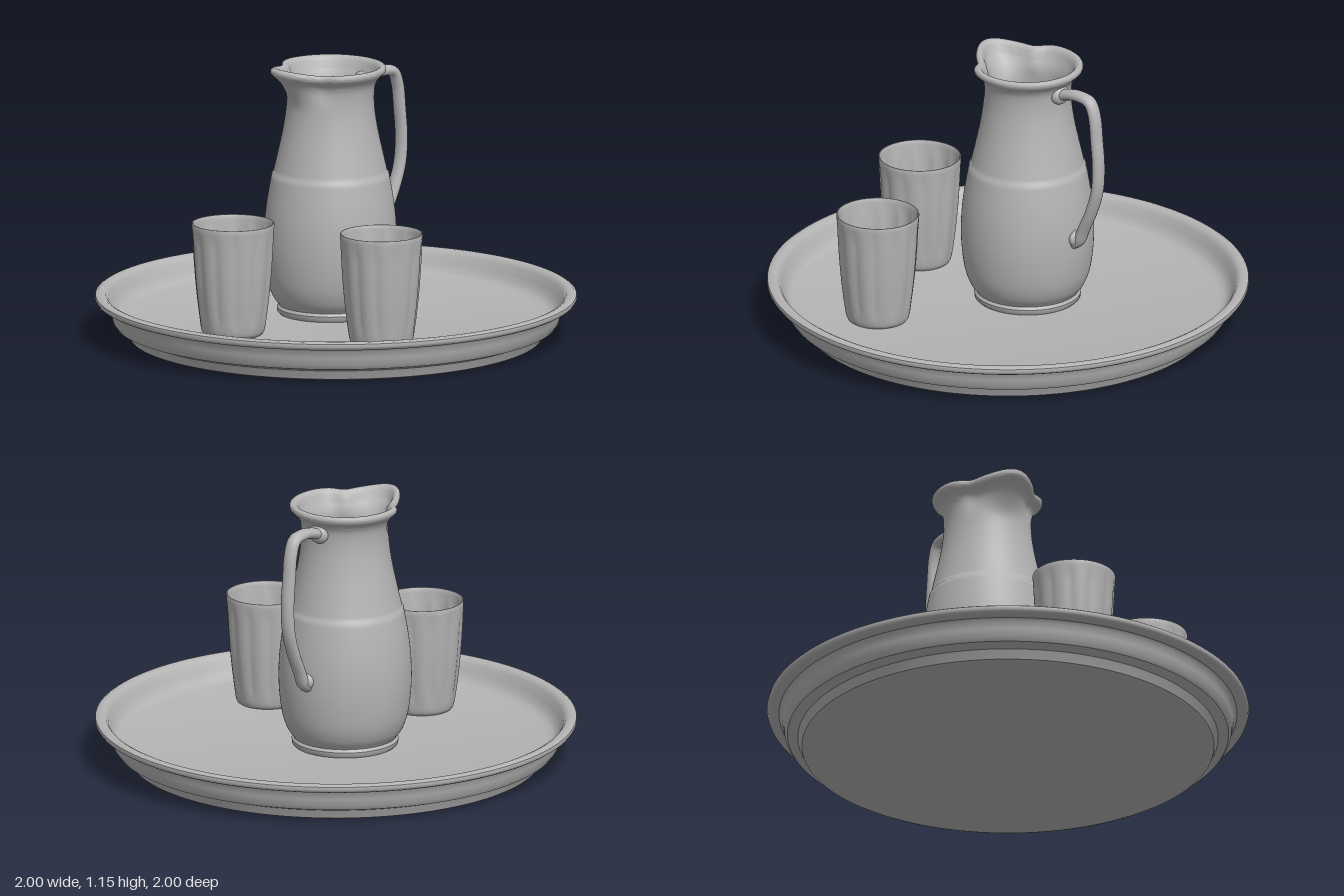
import * as THREE from 'three';
import { toCreasedNormals } from 'three/addons/utils/BufferGeometryUtils.js';

const clay = new THREE.MeshStandardMaterial({ color: 0xb4b4b4 });
clay.name = 'grey clay';

const vectors = (pairs) => pairs.map(([r, y]) => new THREE.Vector2(r, y));
const smooth = (pairs, n) => new THREE.SplineCurve(vectors(pairs)).getPoints(n);

// Revolves a profile, then lets a rule push each vertex in or out
function turned(name, points, segments, rule) {
  const geo = new THREE.LatheGeometry(points, segments);
  const pos = geo.attributes.position;
  const v = new THREE.Vector3();
  if (rule) {
    for (let i = 0; i < pos.count; i++) {
      v.fromBufferAttribute(pos, i);
      rule(v);
      pos.setXYZ(i, v.x, v.y, v.z);
    }
  }
  const mesh = new THREE.Mesh(toCreasedNormals(geo, 0.7), clay);
  mesh.name = name;
  return mesh;
}

// Round tray: stepped underside, rolled rim, sunken floor
function makeTray() {
  const outside = [
    [0, 0], [0.84, 0], [0.855, 0.006], [0.865, 0.03], [0.872, 0.045], [0.89, 0.053],
    [0.915, 0.06], [0.927, 0.078], [0.934, 0.11], [0.94, 0.14], [0.95, 0.152], [0.985, 0.156],
  ];
  const rim = [[0.995, 0.162], [1, 0.172], [0.998, 0.184], [0.988, 0.19], [0.968, 0.19], [0.955, 0.184]];
  const inside = [[0.945, 0.17], [0.932, 0.14], [0.918, 0.112], [0.9, 0.096], [0.875, 0.09], [0, 0.09]];
  return turned('tray', vectors([...outside, ...rim, ...inside]), 128);
}

// Pulls the upper wall of the jug out to a spout along -x, pinched on both sides
function spout(v) {
  const r = Math.hypot(v.x, v.z);
  if (v.y < 0.97 || r < 0.1) return;
  const a = Math.atan2(v.z, -v.x);
  const lift = THREE.MathUtils.smoothstep(v.y, 0.97, 1.11);
  const tip = Math.exp(-((a / 0.36) ** 2));
  const pinch = Math.exp(-(((Math.abs(a) - 0.8) / 0.25) ** 2));
  const k = (r + lift * (0.055 * tip - 0.022 * pinch)) / r;
  v.x *= k;
  v.z *= k;
  v.y += lift * (0.016 * tip - 0.006 * pinch);
}

function makeJug() {
  const jug = new THREE.Group();
  jug.name = 'jug';
  jug.position.set(0.01, 0, -0.085);

  // Foot ring, belly, glaze seam, neck, flared lip, then the hollow inside
  const foot = vectors([[0, 0.088], [0.21, 0.088], [0.22, 0.098], [0.222, 0.115], [0.214, 0.127]]);
  const belly = smooth([[0.218, 0.134], [0.24, 0.165], [0.262, 0.23], [0.275, 0.34], [0.275, 0.45],
    [0.264, 0.56], [0.243, 0.682]], 24);
  const neck = smooth([[0.237, 0.688], [0.216, 0.78], [0.195, 0.88], [0.183, 0.97], [0.184, 1.04],
    [0.196, 1.078], [0.222, 1.105]], 24);
  const lip = smooth([[0.229, 1.113], [0.231, 1.126], [0.223, 1.136], [0.206, 1.134], [0.194, 1.118]], 10);
  const inside = smooth([[0.186, 1.09], [0.166, 1.04], [0.164, 0.97], [0.178, 0.88], [0.215, 0.7],
    [0.25, 0.45], [0.24, 0.23], [0.19, 0.14], [0, 0.13]], 36);
  const body = turned('jugBody', [...foot, ...belly, ...neck, ...lip, ...inside], 96, spout);
  body.rotation.y = THREE.MathUtils.degToRad(12);
  jug.add(body);

  // Strap handle, wider than it is thick
  const handle = new THREE.Group();
  handle.name = 'jugHandle';
  handle.rotation.y = THREE.MathUtils.degToRad(21);
  const path = new THREE.CatmullRomCurve3([
    [0.17, 1.035], [0.225, 1.058], [0.3, 1.07], [0.358, 1.058], [0.383, 1.005], [0.396, 0.9],
    [0.406, 0.78], [0.398, 0.67], [0.365, 0.57], [0.322, 0.48], [0.294, 0.42], [0.262, 0.4],
  ].map(([x, y]) => new THREE.Vector3(x, y, 0)));
  const strap = new THREE.Mesh(new THREE.TubeGeometry(path, 72, 0.023, 16), clay);
  strap.name = 'handleStrap';
  strap.scale.z = 1.3;
  handle.add(strap);

  // Pressed joints where the handle meets the wall
  for (const [x, y, sx, sy, sz] of [[0.186, 1.045, 0.03, 0.04, 0.045], [0.284, 0.43, 0.025, 0.035, 0.042]]) {
    const joint = new THREE.Mesh(new THREE.SphereGeometry(1, 24, 16), clay);
    joint.name = 'handleJoint';
    joint.position.set(x, y, 0);
    joint.scale.set(sx, sy, sz);
    handle.add(joint);
  }
  jug.add(handle);
  return jug;
}

// Soft vertical flutes that fade out at the lip and the base
function flutes(v) {
  const r = Math.hypot(v.x, v.z);
  if (r < 0.1) return;
  const fade = THREE.MathUtils.smoothstep(v.y, 0.1, 0.2) * (1 - THREE.MathUtils.smoothstep(v.y, 0.47, 0.56));
  const wave = Math.abs(Math.sin(Math.atan2(v.z, v.x) * 6));
  const k = 1 - (0.007 * fade * (1 - wave)) / r;
  v.x *= k;
  v.z *= k;
}

function makeTumbler(name, x, z, turn) {
  const outside = smooth([[0.115, 0.088], [0.13, 0.105], [0.142, 0.17], [0.153, 0.26], [0.162, 0.36],
    [0.168, 0.46], [0.172, 0.555]], 24);
  const inside = smooth([[0.165, 0.557], [0.158, 0.46], [0.148, 0.34], [0.134, 0.23], [0.122, 0.17],
    [0.1, 0.14]], 20);
  const profile = [...vectors([[0, 0.088]]), ...outside, ...vectors([[0.1705, 0.56], [0.167, 0.56]]),
    ...inside, ...vectors([[0.09, 0.146], [0, 0.146]])];
  const tumbler = turned(name, profile, 96, flutes);
  tumbler.position.set(x, 0, z);
  tumbler.rotation.y = turn;
  return tumbler;
}

export function createModel() {
  const model = new THREE.Group();
  model.name = 'drinksTray';
  model.add(
    makeTray(),
    makeJug(),
    makeTumbler('rightTumbler', -0.527, 0.155, 0.2),
    makeTumbler('frontTumbler', -0.037, 0.58, 0),
  );
  return model;
}
